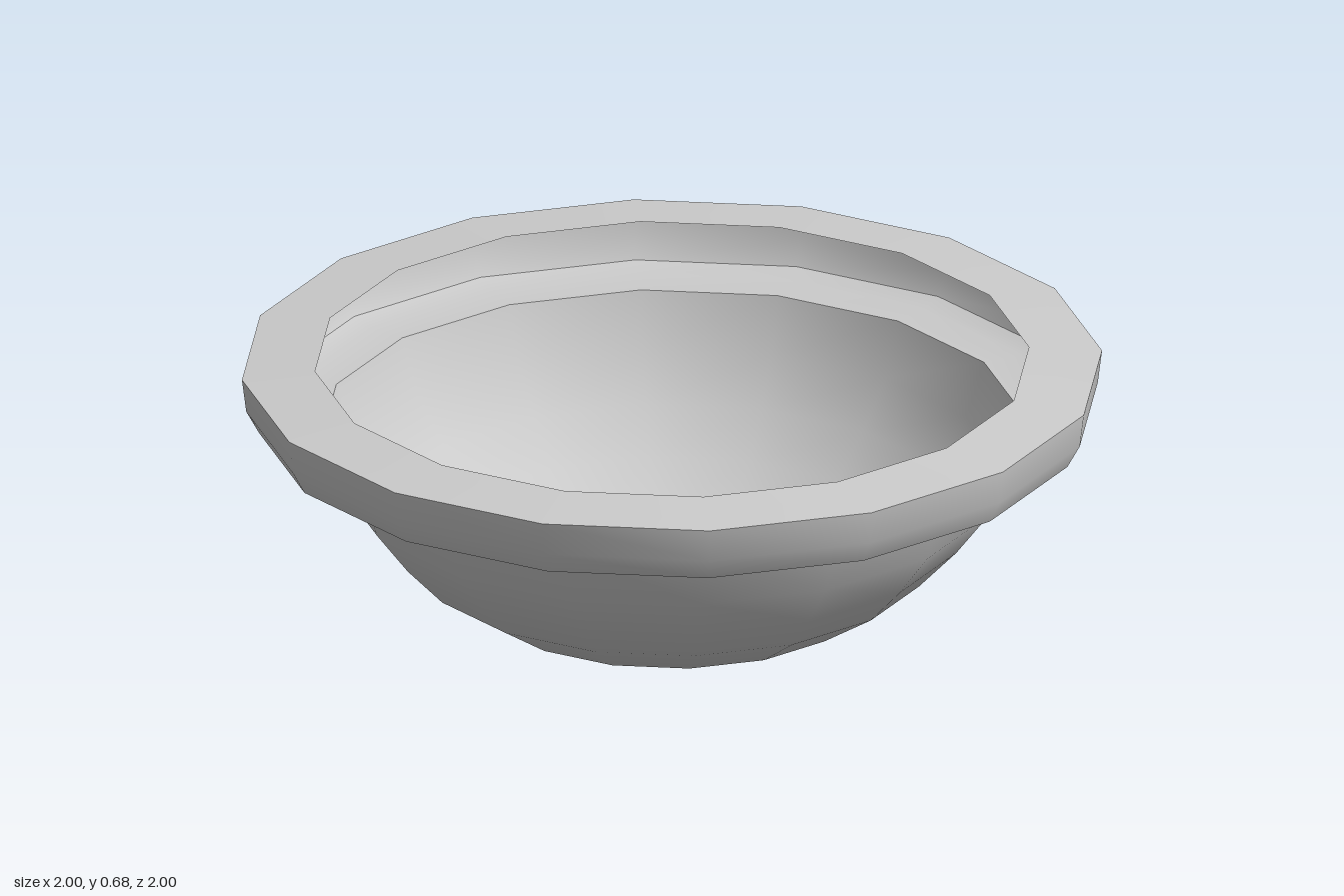
import * as THREE from 'three';

const SIDES = 16;
const material = new THREE.MeshStandardMaterial({ color: 0xcccccc, side: THREE.DoubleSide });

// Turns a profile of [radius, height] pairs, listed from the bottom or centre outwards
function turned(name, profile) {
  const points = profile.map(([r, y]) => new THREE.Vector2(r, y));
  const mesh = new THREE.Mesh(new THREE.LatheGeometry(points, SIDES), material);
  mesh.name = name;
  return mesh;
}

export function createModel() {
  const model = new THREE.Group();
  model.name = 'basin';

  // Thin round bowl, open at the top
  model.add(turned('bowl', [
    [0, 0], [0.16, 0.02], [0.32, 0.05], [0.46, 0.09], [0.6, 0.18],
    [0.69, 0.275], [0.77, 0.38], [0.815, 0.51],
  ]));

  // Hollow rim: ledge, outer wall and top lip, kept apart for sharp edges
  model.add(turned('rimLedge', [[0.815, 0.51], [0.91, 0.51], [0.96, 0.525]]));
  model.add(turned('rimWall', [[0.96, 0.525], [0.99, 0.58], [1, 0.66]]));
  model.add(turned('rimLip', [[1, 0.66], [0.83, 0.675]]));

  return model;
}
